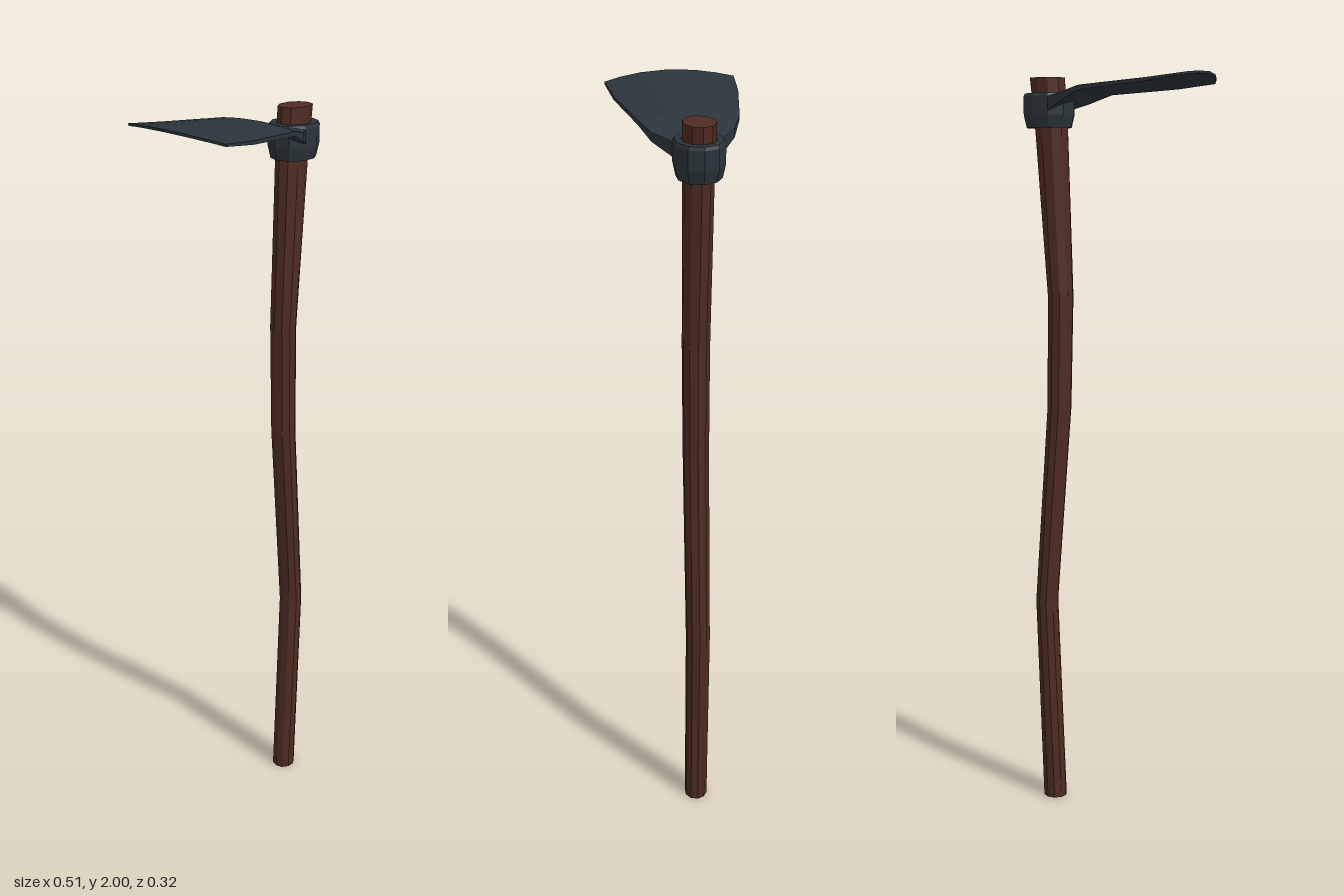
import * as THREE from 'three';

const wood = new THREE.MeshStandardMaterial({ color: 0x4d2b22, flatShading: true });
const metal = new THREE.MeshStandardMaterial({ color: 0x2a343a, flatShading: true });

// Skin a series of closed rings and close both ends with strips.
function loft(rings) {
  const n = rings[0].length;
  const index = [];
  const quad = (a, b, c, d) => index.push(a, b, c, a, c, d);
  for (let i = 0; i < rings.length - 1; i++) {
    for (let j = 0; j < n; j++) {
      const k = (j + 1) % n;
      quad(i * n + j, i * n + k, (i + 1) * n + k, (i + 1) * n + j);
    }
  }
  const end = (rings.length - 1) * n;
  for (let j = 0; j < n / 2 - 1; j++) {
    quad(end + j, end + j + 1, end + n - 2 - j, end + n - 1 - j);
    quad(n - 1 - j, n - 2 - j, j + 1, j);
  }
  const geometry = new THREE.BufferGeometry();
  geometry.setAttribute('position', new THREE.Float32BufferAttribute(rings.flat(2), 3));
  geometry.setIndex(index);
  geometry.computeVertexNormals();
  return geometry;
}

function addMesh(group, name, geometry, material) {
  const mesh = new THREE.Mesh(geometry, material);
  mesh.name = name;
  group.add(mesh);
  return mesh;
}

// Crooked ten-sided handle: y, centre x, radius in x, radius in z.
function handleGeometry() {
  const stations = [
    [0, 0.182, 0.033, 0.032],
    [0.58, 0.202, 0.031, 0.033],
    [1.13, 0.16, 0.033, 0.034],
    [1.43, 0.154, 0.035, 0.035],
    [1.86, 0.176, 0.046, 0.037],
    [1.995, 0.187, 0.049, 0.039],
  ];
  return loft(stations.map(([y, cx, rx, rz]) =>
    Array.from({ length: 10 }, (_, j) => {
      const a = (j / 10) * Math.PI * 2;
      return [cx + rx * Math.cos(a), y, -rz * Math.sin(a)];
    })));
}

// Crowned blade: x, half width, top y, thickness, edge drop, forward bow.
function bladeGeometry() {
  const stations = [
    [0.163, 0.057, 1.945, 0.035, 0, 0],
    [0.11, 0.097, 1.959, 0.022, 0.006, 0],
    [0.053, 0.12, 1.975, 0.012, 0.008, 0],
    [-0.12, 0.153, 1.988, 0.009, 0.011, 0.012],
    [-0.22, 0.162, 2.0, 0.006, 0.014, 0.035],
  ];
  const across = [-1, -0.75, -0.42, 0, 0.42, 0.75, 1];
  return loft(stations.map(([x, w, y, thick, drop, bow]) => {
    const point = (t, below) =>
      [x - bow * (1 - t * t), y - drop * t * t - below, w * t];
    return [
      ...across.map((t) => point(t, thick)),
      ...[...across].reverse().map((t) => point(t, 0)),
    ];
  }));
}

// Socket ring that clamps the blade to the handle.
function collarGeometry() {
  const profile = [
    [0.044, 1.868], [0.062, 1.868], [0.07, 1.9], [0.07, 1.947],
    [0.066, 1.955], [0.048, 1.955], [0.044, 1.868],
  ].map(([r, y]) => new THREE.Vector2(r, y));
  const geometry = new THREE.LatheGeometry(profile, 10, Math.PI / 2);
  geometry.scale(1, 1, 0.87);
  geometry.translate(0.183, 0, 0);
  return geometry;
}

export function createModel() {
  const model = new THREE.Group();
  model.name = 'hoe';
  addMesh(model, 'handle', handleGeometry(), wood);
  const head = new THREE.Group();
  head.name = 'head';
  model.add(head);
  addMesh(head, 'collar', collarGeometry(), metal);
  addMesh(head, 'blade', bladeGeometry(), metal);
  return model;
}
